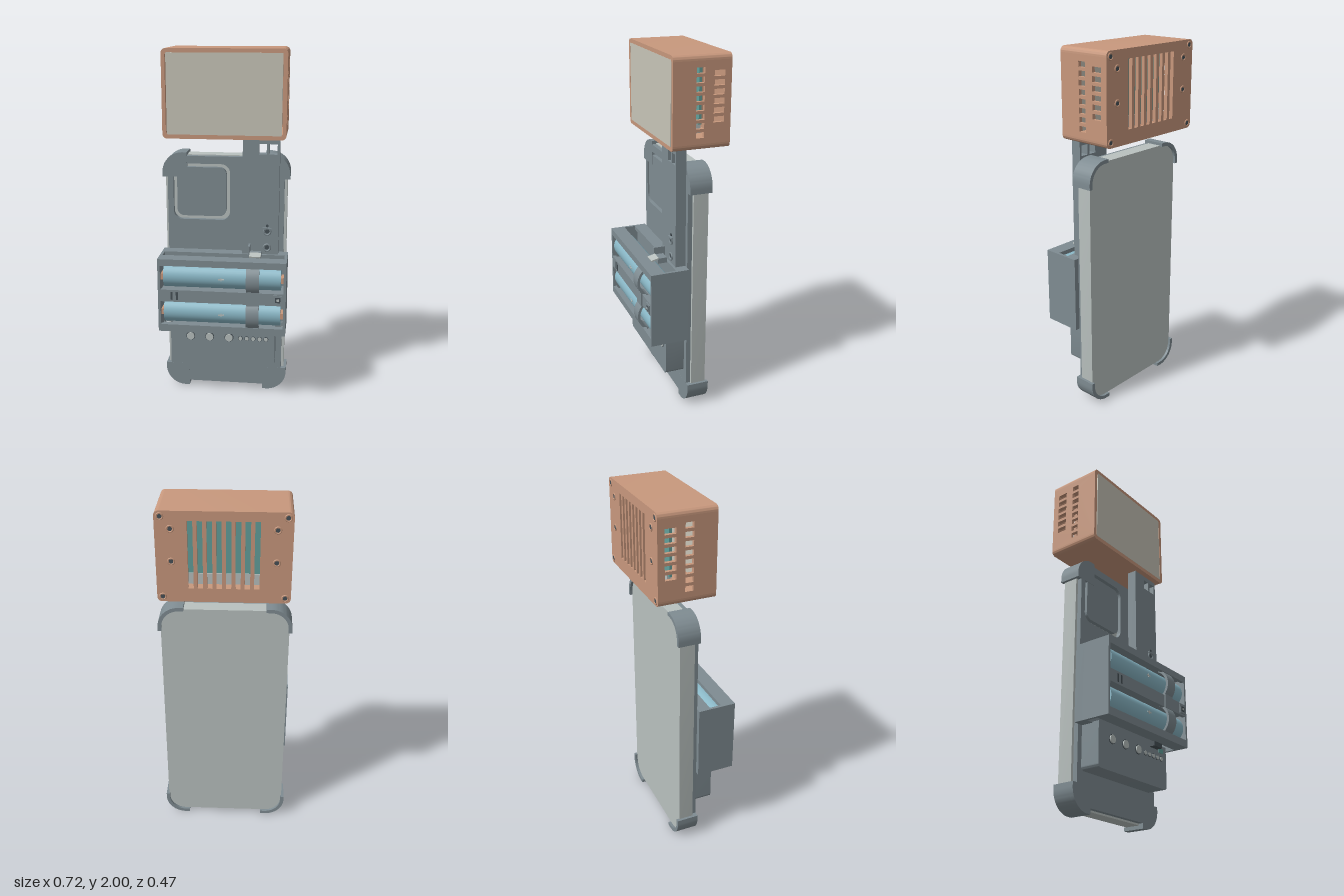
import * as THREE from 'three';
import { toCreasedNormals } from 'three/addons/utils/BufferGeometryUtils.js';

const mat = (name, color) => new THREE.MeshStandardMaterial({ name, color });

export function createModel() {
  const root = new THREE.Group();
  const grey = mat('case grey', 0x7f8c92), orange = mat('housing orange', 0xc8987d);
  const light = mat('phone light grey', 0xb9c1bf), blue = mat('battery blue', 0x8bb9c8);
  const panel = mat('light panel', 0xc8c5b8), teal = mat('board teal', 0x62a09b);
  const dark = mat('dark slots', 0x465056);

  const group = (name, parent = root) => {
    const g = new THREE.Group();
    g.name = name;
    parent.add(g);
    return g;
  };
  const add = (parent, name, geo, m) => {
    const mesh = new THREE.Mesh(geo, m);
    mesh.name = name;
    parent.add(mesh);
    return mesh;
  };
  // Box given by its limits on each axis
  const box = (parent, name, m, x0, x1, y0, y1, z0, z1) => {
    const mesh = add(parent, name, new THREE.BoxGeometry(x1 - x0, y1 - y0, z1 - z0), m);
    mesh.position.set((x0 + x1) / 2, (y0 + y1) / 2, (z0 + z1) / 2);
    return mesh;
  };
  // Rectangle outline with rounded corners: radii bottom left, bottom right, top right, top left
  const rect = (x0, x1, y0, y1, r = [0, 0, 0, 0], T = THREE.Shape) => {
    const [a, b, c, d] = Array.isArray(r) ? r : [r, r, r, r];
    const s = new T();
    s.moveTo(x0 + a, y0);
    s.lineTo(x1 - b, y0);
    if (b) s.absarc(x1 - b, y0 + b, b, -Math.PI / 2, 0);
    s.lineTo(x1, y1 - c);
    if (c) s.absarc(x1 - c, y1 - c, c, 0, Math.PI / 2);
    s.lineTo(x0 + d, y1);
    if (d) s.absarc(x0 + d, y1 - d, d, Math.PI / 2, Math.PI);
    s.lineTo(x0, y0 + a);
    if (a) s.absarc(x0 + a, y0 + a, a, Math.PI, Math.PI * 1.5);
    return s;
  };
  const hole = (shape, x0, x1, y0, y1, r = 0) => shape.holes.push(rect(x0, x1, y0, y1, r, THREE.Path));
  const slab = (shape, z0, z1) => toCreasedNormals(
    new THREE.ExtrudeGeometry(shape, { depth: z1 - z0, bevelEnabled: false, curveSegments: 10 }).translate(0, 0, z0), 0.6);
  // Slabs whose outline is drawn in (-z, y) or (x, -z)
  const sideSlab = (shape, x0, x1) => slab(shape, x0, x1).rotateY(Math.PI / 2);
  const flatSlab = (shape, y0, y1) => slab(shape, y0, y1).rotateX(-Math.PI / 2);
  const disc = (parent, name, m, x, y, z, r, h) => {
    const mesh = add(parent, name, new THREE.CylinderGeometry(r, r, h, 20).rotateX(Math.PI / 2), m);
    mesh.position.set(x, y, z);
    return mesh;
  };

  // Phone
  const phone = group('phone');
  add(phone, 'phoneBody', slab(rect(-0.345, 0.345, 0.02, 1.415, 0.1), -0.12, -0.036), light);
  add(phone, 'cameraBump', slab(rect(-0.277, 0.003, 1.066, 1.347, 0.04), -0.037, -0.012), grey);

  // Case plate with camera opening, and corner bumpers
  const caseGroup = group('phoneCase');
  const plate = rect(-0.33, 0.33, 0.03, 1.41, 0.1);
  hole(plate, -0.298, 0.024, 1.045, 1.367, 0.05);
  add(caseGroup, 'casePlate', slab(plate, -0.036, -0.01), grey);
  const L = 0.14, R = 0.115, W = 0.02;
  const band = new THREE.Shape();
  band.moveTo(L, 0);
  band.lineTo(L, W);
  band.lineTo(R, W);
  band.absarc(R, R, R - W, Math.PI * 1.5, Math.PI, true);
  band.lineTo(W, L);
  band.lineTo(0, L);
  band.lineTo(0, R);
  band.absarc(R, R, R, Math.PI, Math.PI * 1.5);
  [[-0.36, 0], [0.36, 0], [0.36, 1.43], [-0.36, 1.43]].forEach(([x, y], i) => {
    const corner = group('cornerBumper', caseGroup);
    corner.position.set(x, y, 0);
    corner.rotation.z = i * Math.PI / 2;
    add(corner, 'bumperBand', slab(band, -0.135, -0.0105), grey);
    add(corner, 'bumperFront', slab(rect(0, L, 0, L, [R, 0, 0, 0]), -0.034, -0.0095), grey);
  });

  // Upright arm with two openings and screws
  const arm = group('supportArm');
  const armShape = rect(0.1, 0.303, 0.86, 1.53);
  hole(armShape, 0.188, 0.232, 1.437, 1.494);
  hole(armShape, 0.245, 0.29, 1.437, 1.494);
  add(arm, 'armPlate', slab(armShape, -0.01, 0.047), grey);
  for (const y of [0.908, 1.002]) {
    const ring = add(arm, 'screwRing', new THREE.TorusGeometry(0.019, 0.005, 8, 20), grey);
    ring.position.set(0.24, y, 0.049);
    disc(arm, 'screwHole', dark, 0.24, y, 0.047, 0.012, 0.006);
  }
  box(arm, 'screwTab', grey, 0.215, 0.265, 1.016, 1.024, 0.045, 0.058);
  disc(arm, 'smallPin', dark, 0.24, 1.035, 0.048, 0.008, 0.008);

  // Light housing: rounded caps, vented sides, slotted back
  const lamp = group('lightHousing');
  const T = 0.03, X = 0.337, Y0 = 1.52, Y1 = 2, ZB = -0.235, ZF = 0.08;
  add(lamp, 'housingTop', slab(rect(-X, X, Y1 - T, Y1, [0, 0, 0.025, 0.025]), ZB, ZF), orange);
  add(lamp, 'housingBottom', slab(rect(-X, X, Y0, Y0 + T, [0.025, 0.025, 0, 0]), ZB, ZF), orange);
  const side = rect(-ZF, -ZB, Y0 + T, Y1 - T);
  for (let i = 0; i < 8; i++) hole(side, 0.045, 0.09, 1.582 + i * 0.0465, 1.612 + i * 0.0465);
  for (let i = 0; i < 6; i++) hole(side, 0.138, 0.198, 1.657 + i * 0.0465, 1.687 + i * 0.0465);
  for (const x0 of [-X, X - 0.02]) add(lamp, 'ventedSide', sideSlab(side, x0, x0 + 0.02), orange);
  const back = rect(-X + 0.01, X - 0.01, Y0 + 0.01, Y1 - 0.01);
  for (let i = 0; i < 8; i++) hole(back, -0.178 + i * 0.047, -0.151 + i * 0.047, 1.595, 1.95);
  add(lamp, 'slottedBack', slab(back, ZB, ZB + 0.02), orange);
  for (const s of [-1, 1])
    for (const [x, y] of [[0.308, 1.972], [0.308, 1.548], [0.26, 1.91], [0.26, 1.74]]) {
      const ring = add(lamp, 'backScrewRing', new THREE.TorusGeometry(0.016, 0.004, 8, 20), orange);
      ring.position.set(s * x, y, ZB);
      disc(lamp, 'backScrew', dark, s * x, y, ZB, 0.011, 0.004);
    }
  add(lamp, 'lightPanel', slab(rect(-0.312, 0.312, 1.543, 1.978, 0.005), 0.05, 0.081), panel);
  box(lamp, 'circuitBoard', teal, -0.22, 0.22, 1.62, 1.955, -0.125, -0.11);
  box(lamp, 'boardComponent', light, -0.2, 0.2, 1.57, 1.63, -0.13, -0.105);

  // Battery holder: tray with windows in front and slots in top and bottom
  const holder = group('batteryHolder');
  const H = 0.358, B0 = 0.44, B1 = 0.868;
  box(holder, 'holderBack', grey, -H, H, B0, B1, -0.01, 0.045);
  for (const s of [-1, 1]) {
    box(holder, 'holderEnd', grey, s * 0.351 - 0.007, s * 0.351 + 0.007, B0, B1, 0.04, 0.206);
  }
  const lid = rect(-0.35, 0.35, -0.205, -0.04);
  hole(lid, -0.342, 0.342, -0.126, -0.06);
  add(holder, 'holderTop', flatSlab(lid, 0.845, B1), grey);
  add(holder, 'holderBottom', flatSlab(lid, B0, 0.463), grey);
  const front = rect(-H, H, B0, B1);
  hole(front, -0.345, 0.345, 0.69, 0.83);
  hole(front, -0.345, 0.345, 0.482, 0.62);
  add(holder, 'holderFront', slab(front, 0.186, 0.206), grey);
  box(holder, 'middleRib', grey, -0.345, 0.345, 0.63, 0.68, 0.045, 0.19);
  for (const x of [-0.28, -0.25]) box(holder, 'ribSlot', dark, x - 0.006, x + 0.006, 0.632, 0.678, 0.202, 0.2075);
  box(holder, 'portFrame', grey, 0.288, 0.338, 0.63, 0.682, 0.2, 0.212);
  box(holder, 'portOpening', dark, 0.298, 0.328, 0.641, 0.671, 0.208, 0.2135);
  box(holder, 'portTongue', light, 0.306, 0.32, 0.65, 0.662, 0.21, 0.2145);

  // Batteries with end contacts
  for (const y of [0.76, 0.55]) {
    const cell = add(holder, 'battery', new THREE.CylinderGeometry(0.071, 0.071, 0.656, 36).rotateZ(Math.PI / 2), blue);
    cell.position.set(0, y, 0.13);
    box(holder, 'batteryMark', light, -0.018, 0.014, y - 0.004, y + 0.004, 0.198, 0.203);
    box(holder, 'batteryMark', light, -0.005, 0.001, y - 0.01, y + 0.01, 0.198, 0.203);
    for (const s of [-1, 1]) box(holder, 'contact', orange, s * 0.337 - 0.009, s * 0.337 + 0.009, y - 0.017, y + 0.017, 0.12, 0.185);
  }

  // Strap curving over both batteries
  const strap = group('strap');
  const arc = new THREE.Shape();
  arc.absarc(-0.135, 0, 0.098, Math.PI - 1.15, Math.PI + 1.15);
  arc.absarc(-0.135, 0, 0.084, Math.PI + 1.15, Math.PI - 1.15, true);
  for (const y of [0.757, 0.553]) add(strap, 'strapArc', sideSlab(arc, 0.138, 0.21), grey).position.y = y;
  box(strap, 'strapMiddle', grey, 0.138, 0.21, 0.615, 0.695, 0.2, 0.213);
  box(strap, 'strapTabEdge', grey, 0.138, 0.148, 0.865, 0.93, 0.05, 0.115);
  box(strap, 'strapTabBase', grey, 0.138, 0.21, 0.86, 0.89, 0.06, 0.112);
  box(strap, 'strapTabEnd', light, 0.148, 0.212, 0.882, 0.89, 0.108, 0.152).rotation.x = 0.25;
  box(strap, 'strapLowerEnd', dark, 0.138, 0.21, 0.415, 0.442, 0.09, 0.135);

  // Control box with buttons and indicator lights
  const control = group('controlBox');
  add(control, 'controlBody', slab(rect(-0.3, 0.296, 0.205, 0.445, [0.02, 0.02, 0, 0]), -0.012, 0.1), grey);
  for (const x of [-0.192, -0.081, 0.032]) {
    disc(control, 'buttonRim', dark, x, 0.372, 0.1, 0.026, 0.005);
    disc(control, 'button', light, x, 0.372, 0.103, 0.022, 0.012);
  }
  for (let i = 0; i < 5; i++) {
    disc(control, 'indicatorRim', dark, 0.098 + i * 0.037, 0.37, 0.1, 0.014, 0.005);
    disc(control, 'indicator', light, 0.098 + i * 0.037, 0.37, 0.102, 0.011, 0.008);
  }
  box(control, 'socket', teal, 0.225, 0.262, 0.402, 0.426, 0.09, 0.104);

  return root;
}
